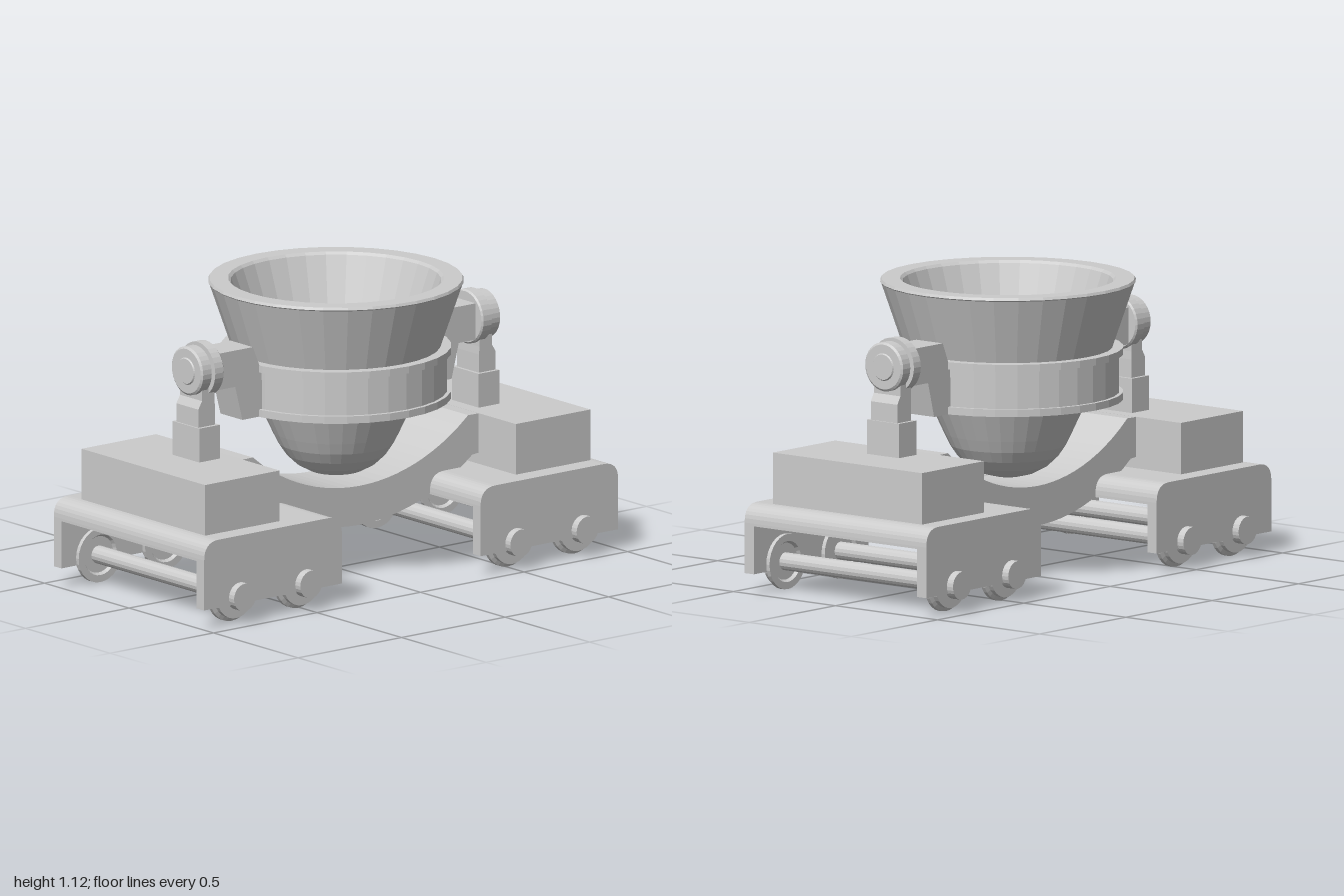
import * as THREE from 'three';

const mat = new THREE.MeshStandardMaterial({ color: 0xcccccc, flatShading: true });

function add(parent, name, geo, x = 0, y = 0, z = 0) {
  const m = new THREE.Mesh(geo, mat);
  m.name = name;
  m.position.set(x, y, z);
  parent.add(m);
  return m;
}

const pts = (list) => list.map(([a, b]) => new THREE.Vector2(a, b));

// Extrudes an x-y outline along z, from z0 to z1
function slab(shape, z0, z1) {
  const g = new THREE.ExtrudeGeometry(shape, { depth: z1 - z0, bevelEnabled: false, curveSegments: 8 });
  return g.translate(0, 0, z0);
}

// Lathe profile given from bottom to top, outside first
const lathe = (list, n) => new THREE.LatheGeometry(pts(list), n);

// Outline of a bogie with rounded upper corners
function bogieShape(bottom) {
  const s = new THREE.Shape();
  const w = 0.3325, r = 0.07, top = 0.34;
  s.moveTo(-w, bottom);
  s.lineTo(w, bottom);
  s.lineTo(w, top - r);
  s.quadraticCurveTo(w, top, w - r, top);
  s.lineTo(-w + r, top);
  s.quadraticCurveTo(-w, top, -w, top - r);
  s.closePath();
  return s;
}

function makeWheel() {
  const g = new THREE.Group();
  g.name = 'wheel';
  // Flanged wheel with dished inner face, axis turned to z
  const wheel = lathe([[0, 0.012], [0.07, 0.012], [0.078, 0], [0.105, 0], [0.105, 0.016],
    [0.09, 0.022], [0.09, 0.042], [0, 0.042]], 28).rotateX(Math.PI / 2);
  add(g, 'wheelDisc', wheel, 0, 0, 0.38);
  add(g, 'axleCap', new THREE.CylinderGeometry(0.053, 0.053, 0.04, 24).rotateX(Math.PI / 2), 0, 0, 0.455);
  return g;
}

function makeBogie() {
  const g = new THREE.Group();
  g.name = 'bogie';
  add(g, 'deck', slab(bogieShape(0.26), -0.4, 0.4));
  for (const s of [0, 1]) {
    add(g, 'sidePlate', slab(bogieShape(0.078), s ? 0.4 : -0.445, s ? 0.445 : -0.4));
  }
  for (const x of [-0.16, 0.16]) {
    add(g, 'axle', new THREE.CylinderGeometry(0.034, 0.034, 0.8, 16).rotateX(Math.PI / 2), x, 0.107, 0);
    for (const turn of [0, Math.PI]) {
      const w = makeWheel();
      w.position.set(x, 0.107, 0);
      w.rotation.y = turn;
      g.add(w);
    }
  }
  add(g, 'deckBox', new THREE.BoxGeometry(0.36, 0.195, 0.73), 0.083, 0.4375, 0);
  return g;
}

// Everything on one end of the car, built on the +x side
function makeEnd() {
  const g = new THREE.Group();
  g.name = 'carEnd';
  const bogie = makeBogie();
  bogie.position.x = 0.6675;
  g.add(bogie);

  // Trunnion support
  add(g, 'post', new THREE.BoxGeometry(0.1, 0.13, 0.158), 0.675, 0.6, 0);
  const neck = new THREE.Shape(pts([[0.638, 0.66], [0.718, 0.66], [0.718, 0.735], [0.7, 0.765],
    [0.7, 0.86], [0.64, 0.86], [0.64, 0.765], [0.638, 0.735]]));
  add(g, 'postNeck', slab(neck, -0.065, 0.065));

  // Stepped trunnion discs along x
  const disc = lathe([[0, 0], [0.098, 0], [0.104, 0.006], [0.104, 0.046], [0.08, 0.046], [0.08, 0.054],
    [0.093, 0.054], [0.093, 0.095], [0.085, 0.101], [0.052, 0.101], [0.048, 0.106], [0, 0.106]], 32);
  add(g, 'trunnion', disc.rotateZ(-Math.PI / 2), 0.622, 0.872, 0);

  // Bracket carrying the ladle ring
  const arm = new THREE.Shape(pts([[0.4, 0.662], [0.505, 0.662], [0.54, 0.795], [0.63, 0.795],
    [0.63, 0.935], [0.455, 0.935], [0.415, 0.84]]));
  add(g, 'bracket', slab(arm, -0.065, 0.065));
  return g;
}

export function createModel() {
  const model = new THREE.Group();
  model.name = 'ladleCar';

  for (const turn of [0, Math.PI]) {
    const end = makeEnd();
    end.rotation.y = turn;
    model.add(end);
  }

  // Curved cradle beam joining the two bogies
  const arc = (r, y0, x) => [x, y0 + r - Math.sqrt(r * r - x * x)];
  const outline = [];
  const n = 24;
  for (let i = 0; i <= n; i++) outline.push(arc(0.88, 0.195, -0.54 + (1.08 * i) / n));
  outline.push([0.6, 0.385], [0.6, 0.534]);
  for (let i = 0; i <= n; i++) outline.push(arc(0.806, 0.345, 0.52 - (1.04 * i) / n));
  outline.push([-0.6, 0.534], [-0.6, 0.385]);
  add(model, 'cradleBeam', slab(new THREE.Shape(pts(outline)), -0.145, 0.145));

  // Ladle pot: round bottom, cone, lip, inner wall and floor
  const pot = lathe([[0, 0.367], [0.05, 0.37], [0.1, 0.383], [0.15, 0.41], [0.19, 0.448], [0.218, 0.49],
    [0.24, 0.535], [0.3, 0.665], [0.385, 0.84], [0.476, 1.106], [0.48, 1.11], [0.475, 1.12],
    [0.405, 1.12], [0.395, 1.11], [0.295, 0.83], [0, 0.83]], 32);
  add(model, 'ladlePot', pot);

  // Flanged support ring
  const ring = lathe([[0.28, 0.662], [0.432, 0.662], [0.432, 0.69], [0.417, 0.69], [0.417, 0.833],
    [0.432, 0.833], [0.432, 0.86], [0.36, 0.86]], 32);
  add(model, 'ladleRing', ring);

  return model;
}
